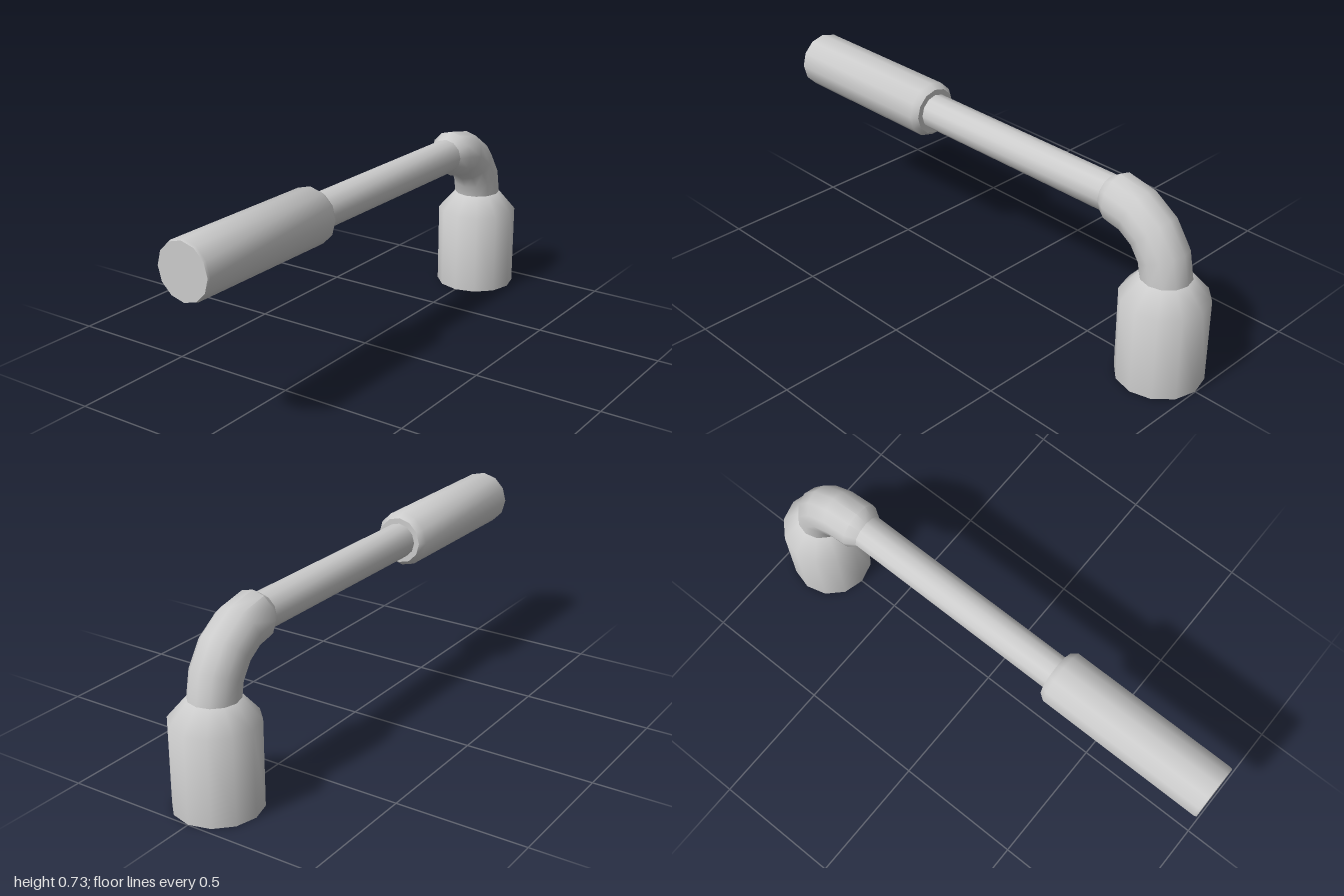
import * as THREE from 'three';
import { toCreasedNormals, mergeVertices } from 'three/addons/utils/BufferGeometryUtils.js';

const SIDES = 12;
const BAR_Y = 0.618;      // height of the bar axis
const SOCKET_Z = -0.838;  // position of the socket axis
const CREASE = THREE.MathUtils.degToRad(50);

export function createModel() {
  const group = new THREE.Group();
  const material = new THREE.MeshStandardMaterial({ color: 0xcccccc });

  const add = (name, geometry, y = 0, z = 0) => {
    const mesh = new THREE.Mesh(toCreasedNormals(geometry, CREASE), material);
    mesh.name = name;
    mesh.position.set(0, y, z);
    group.add(mesh);
    return mesh;
  };
  const lathe = (points, sides = SIDES) =>
    new THREE.LatheGeometry(points.map(([r, y]) => new THREE.Vector2(r, y)), sides);
  const ring = (radius, sides) => Array.from({ length: sides }, (_, i) => {
    const a = (i / sides) * Math.PI * 2;
    return new THREE.Vector2(radius * Math.sin(a), radius * Math.cos(a));
  });

  // Grip: thick end of the bar, chamfered at the back and lightly at the tip
  add('grip', lathe([
    [0.06, 0.31], [0.09, 0.31], [0.108, 0.335], [0.108, 0.99], [0.105, 1], [0, 1],
  ]).rotateX(Math.PI / 2), BAR_Y);

  // Shaft between grip and elbow
  add('shaft', lathe([[0.068, -0.6], [0.068, 0.33]]).rotateX(Math.PI / 2), BAR_Y);

  // Elbow: a cylinder bent through a quarter turn, its last row tapering to the shaft
  const bend = 0.223, rows = 5;
  const elbow = new THREE.CylinderGeometry(0.093, 0.093, 1, SIDES, rows, true);
  const pos = elbow.attributes.position;
  for (let i = 0; i < pos.count; i++) {
    const row = Math.round((pos.getY(i) + 0.5) * rows);
    const taper = row === rows;
    const k = taper ? 0.068 / 0.093 : 1;
    const a = taper ? 0 : (1 - row / (rows - 1)) * Math.PI / 2;
    const r = bend - pos.getZ(i) * k;
    pos.setXYZ(i, pos.getX(i) * k,
      BAR_Y - bend + r * Math.cos(a),
      SOCKET_Z + bend - r * Math.sin(a) + (taper ? 0.04 : 0));
  }
  elbow.deleteAttribute('uv');
  elbow.deleteAttribute('normal');
  add('elbow', mergeVertices(elbow));

  // Socket body with sloping shoulder
  add('socket', lathe([[0.161, 0], [0.161, 0.328], [0.094, 0.405], [0, 0.405]]), 0, SOCKET_Z);

  // Underside rim with a hexagonal opening
  const rim = new THREE.Shape(ring(0.161, SIDES));
  rim.holes.push(new THREE.Path(ring(0.12, 6)));
  add('socketRim', new THREE.ShapeGeometry(rim).rotateX(Math.PI / 2), 0, SOCKET_Z);

  // Hexagonal bore, facing inward
  add('hexBore', lathe([[0, 0.25], [0.12, 0.25], [0.12, 0]], 6), 0, SOCKET_Z);

  return group;
}
